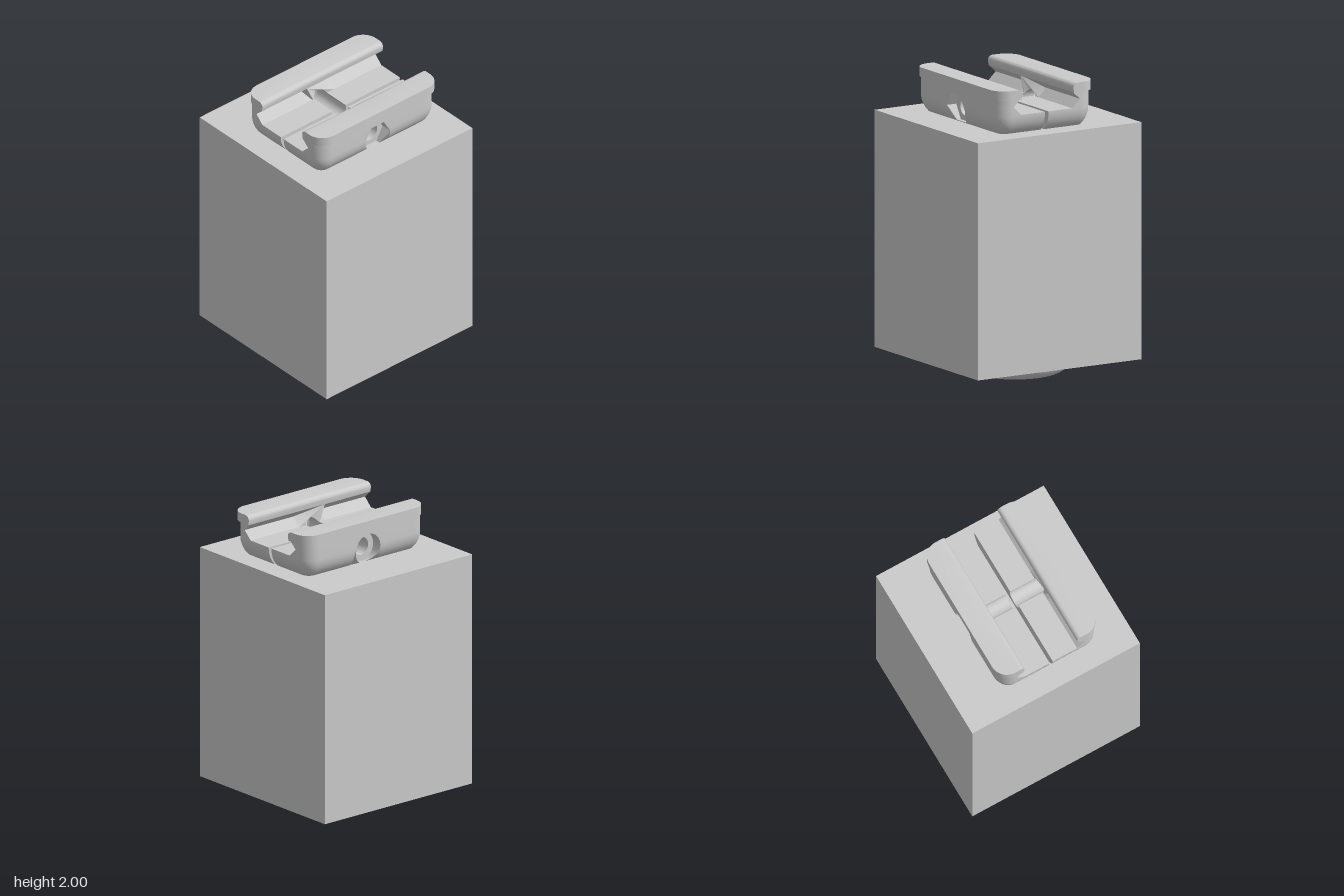
import * as THREE from 'three';
import { toCreasedNormals } from 'three/addons/utils/BufferGeometryUtils.js';

const material = new THREE.MeshStandardMaterial({ color: 0xcccccc });
const CZ = 0.038;                          // middle of the clamp in z
const HX = 0.005, HY = 1.8, HR = 0.062;    // bolt hole centre and radius
const HALF = 0.115;                        // half width of the drilled middle block
const FLOOR = 1.827, BASE = 1.68, LIP = 1.935;

function part(name, geometry, parent, crease = 0.5) {
  const mesh = new THREE.Mesh(toCreasedNormals(geometry, crease), material);
  mesh.name = name;
  parent.add(mesh);
}

// Skin over a stack of rings with equal point counts
function loft(rings, { flip = false, caps = true } = {}) {
  const n = rings[0].length, index = [];
  const tri = (a, b, c) => (flip ? index.push(a, c, b) : index.push(a, b, c));
  for (let j = 0; j < rings.length - 1; j++) {
    for (let i = 0; i < n; i++) {
      const a = j * n + i, b = j * n + (i + 1) % n;
      tri(a, b, b + n);
      tri(a, b + n, a + n);
    }
  }
  if (caps) {
    const top = (rings.length - 1) * n;
    for (let i = 1; i < n - 1; i++) {
      tri(0, i + 1, i);
      tri(top, top + i, top + i + 1);
    }
  }
  const g = new THREE.BufferGeometry();
  g.setAttribute('position', new THREE.Float32BufferAttribute(rings.flat(2), 3));
  g.setIndex(index);
  return g;
}

// Rounded underside: inset of the outer wall at height y
const inset = (y) => (y >= 1.82 ? 0 : 0.17 - Math.sqrt(0.17 ** 2 - (1.82 - y) ** 2));
const outerZ = (y) => 0.375 - inset(y);
// Inner wall of the jaw with its V notch
function innerZ(y) {
  if (y <= FLOOR) return 0.2;
  return y < 1.885 ? 0.2 + (y - FLOOR) / (1.885 - FLOOR) * 0.06 : 0.26 - (y - 1.885) / 0.05 * 0.055;
}

// Plan section of half a jaw, from xa out to a rounded corner at xe
function jawSection(y, xa, xe, zi, zo, r, sx, sz) {
  const pts = [[xa, zo]];
  for (let i = 0; i <= 10; i++) {
    const a = Math.PI / 2 * (1 - i / 10);
    pts.push([xe - r + r * Math.cos(a), zo - r + r * Math.sin(a)]);
  }
  pts.push([xe, zi], [xa, zi]);
  return pts.map(([x, z]) => [sx * x, y, CZ + sz * z]);
}

// Extrude a face, then bend its inner and outer caps to follow two height rules
function slab(shape, near, far, sz) {
  const g = new THREE.ExtrudeGeometry(shape, { depth: 1, bevelEnabled: false, curveSegments: 24 });
  const p = g.attributes.position;
  for (let i = 0; i < p.count; i++) {
    const y = p.getY(i), t = sz > 0 ? p.getZ(i) : 1 - p.getZ(i);
    p.setZ(i, CZ + sz * THREE.MathUtils.lerp(near(y), far(y), t));
  }
  g.translate(HX, 0, 0);
  return g;
}

// Front outline of the drilled block, with extra points up both sides
function blockShape(hole) {
  const ys = [BASE, 1.7, 1.72, 1.74, 1.76, 1.79, 1.82, FLOOR, 1.885, LIP];
  const pts = ys.map((y) => new THREE.Vector2(HALF, y));
  pts.push(...ys.slice().reverse().map((y) => new THREE.Vector2(-HALF, y)));
  const shape = new THREE.Shape(pts);
  shape.holes.push(hole);
  return shape;
}

function roundHole(r, sides = 32) {
  const pts = [];
  for (let i = 0; i < sides; i++) {
    const a = -i / sides * Math.PI * 2;
    pts.push(new THREE.Vector2(r * Math.cos(a), HY + r * Math.sin(a)));
  }
  return new THREE.Path(pts);
}

function buildJaw(sz) {
  const jaw = new THREE.Group();
  jaw.name = sz > 0 ? 'frontJaw' : 'backJaw';

  for (const sx of [1, -1]) {
    const flip = sx * sz < 0;
    const side = sx > 0 ? 'Left' : 'Right';
    // solid body either side of the bolt
    const xa = HALF + sx * HX, xe = sx > 0 ? 0.54 : 0.505;
    const levels = [BASE, 1.7, 1.72, 1.74, 1.76, 1.79, 1.82, FLOOR].map((y) => [y, 0.014]);
    levels.push([FLOOR, 0.2], [1.885, 0.26], [LIP, 0.205]);
    part('jawBody' + side, loft(levels.map(([y, zi]) =>
      jawSection(y, xa, xe - inset(y), zi, outerZ(y), 0.11 - inset(y), sx, sz)), { flip }), jaw);

    // overhanging lip with a rounded inner edge
    const lipLevels = [[LIP, 0.205], [1.968, 0.2]];
    for (let i = 1; i <= 6; i++) {
      const a = i / 6 * Math.PI / 2;
      lipLevels.push([1.968 + 0.032 * Math.sin(a), 0.232 - 0.032 * Math.cos(a)]);
    }
    part('jawLip' + side, loft(lipLevels.map(([y, zi]) =>
      jawSection(y, 0, sx > 0 ? 0.555 : 0.505, zi, 0.385, 0.11, sx, sz)), { flip }), jaw);
  }

  // drilled block: bolt hole, then a hex pocket in front or a round one behind
  const pocketFloor = () => 0.3;
  part('boltHoleBlock', slab(blockShape(roundHole(HR)), innerZ, pocketFloor, sz), jaw);
  const pocket = sz > 0 ? roundHole(0.11, 6) : roundHole(0.105);
  part('boltPocketBlock', slab(blockShape(pocket), pocketFloor, outerZ, sz), jaw);

  // floor strip with the bolt groove
  const a = Math.asin((FLOOR - HY) / HR);
  const groove = new THREE.Shape();
  groove.moveTo(-HALF, BASE);
  groove.lineTo(HALF, BASE);
  groove.lineTo(HALF, FLOOR);
  groove.lineTo(HR * Math.cos(a), FLOOR);
  groove.absarc(0, HY, HR, a, Math.PI - a, true);
  groove.lineTo(-HALF, FLOOR);
  part('grooveFloor', slab(groove, () => 0.014, () => 0.2, sz), jaw);
  return jaw;
}

// Stadium outline for the foot ring
function stadium(r, y) {
  const pts = [];
  for (const [sx, start] of [[1, Math.PI / 2], [-1, -Math.PI / 2]]) {
    for (let i = 0; i <= 20; i++) {
      const a = start - Math.PI * i / 20;
      pts.push([0.015 + sx * 0.135 + r * Math.cos(a), y, 0.04 + r * Math.sin(a)]);
    }
  }
  return pts;
}

export function createModel() {
  const model = new THREE.Group();
  model.name = 'blockWithRailClamp';

  // main block
  const block = new THREE.BoxGeometry(1.28, 1.605, 1.28);
  block.translate(0, 0.0925 + 0.8025, 0);
  part('block', block, model);

  // rounded oval foot ring
  const rings = [stadium(0.232, 0.095), stadium(0.232, 0)];
  for (let i = 0; i <= 10; i++) {
    const a = i / 10 * Math.PI / 2;
    rings.push(stadium(0.25 + 0.115 * Math.sin(a), 0.093 * (1 - Math.cos(a))));
  }
  part('footRing', loft(rings, { caps: false }), model);

  // two-jaw rail clamp
  const clamp = new THREE.Group();
  clamp.name = 'railClamp';
  clamp.add(buildJaw(1), buildJaw(-1));
  model.add(clamp);
  return model;
}
